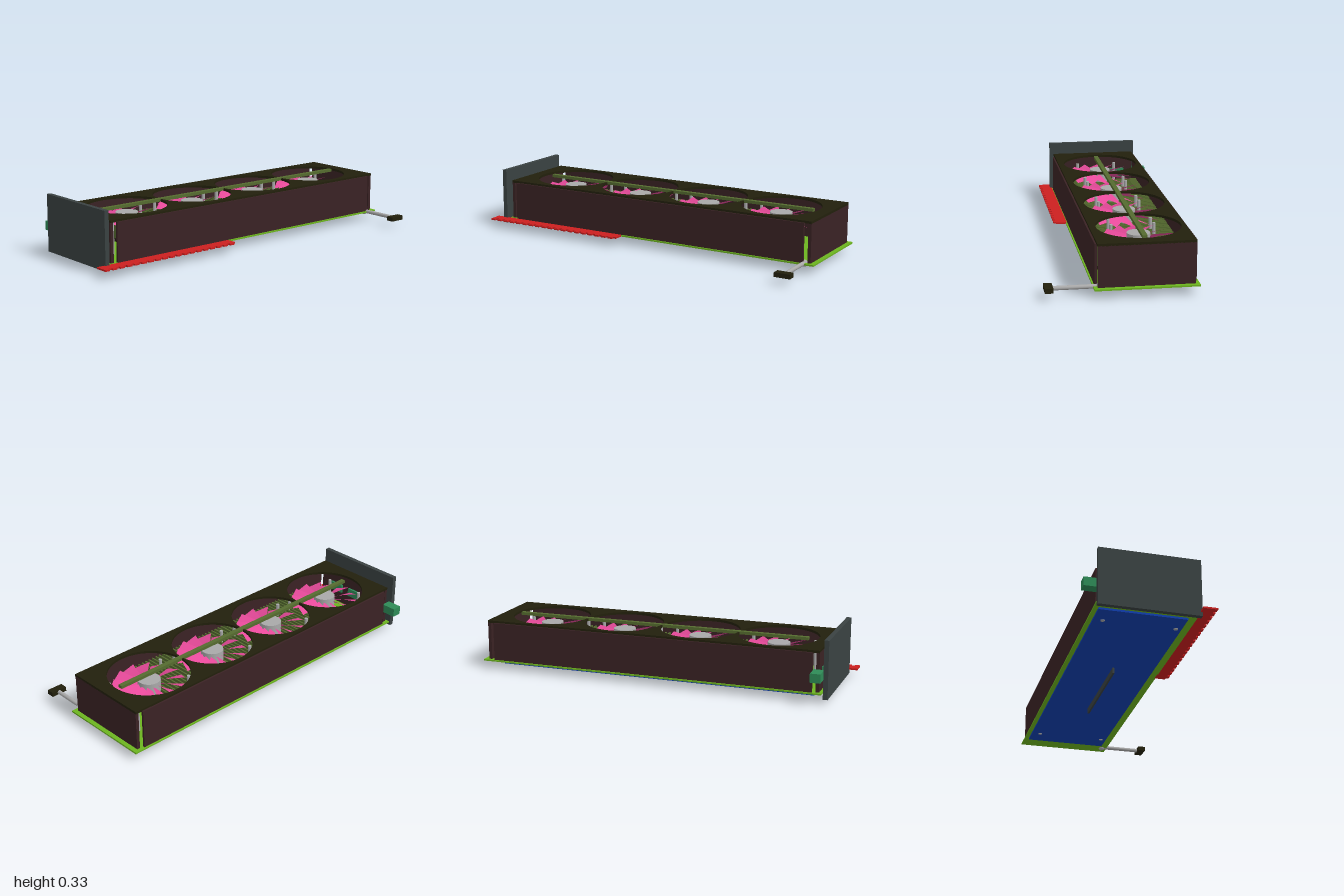
import * as THREE from 'three';

const mat = (name, color, side = THREE.FrontSide) =>
  Object.assign(new THREE.MeshStandardMaterial({ color, side }), { name });

export function createModel() {
  const root = new THREE.Group();
  root.name = 'expansionCard';
  const M = {
    brown: mat('shroud brown', 0x3a2224),
    darkOlive: mat('panel dark olive', 0x22200c),
    olive: mat('fin olive', 0x556b2f),
    green: mat('board green', 0x6cb41f),
    blue: mat('backplate blue', 0x103fb0),
    red: mat('edge connector red', 0xcc1f1f),
    teal: mat('port teal', 0x2e8b57),
    pink: mat('blade pink', 0xe84a9b, THREE.DoubleSide),
    grey: mat('metal grey', 0xa9a9a9),
    slate: mat('bracket slate', 0x3a4242),
  };

  const add = (name, geo, material, parent = root) => {
    const m = new THREE.Mesh(geo, material);
    m.name = name;
    parent.add(m);
    return m;
  };
  // box given by its minimum and maximum on each axis
  const box = (name, material, [x0, x1], [y0, y1], [z0, z1]) => {
    const m = add(name, new THREE.BoxGeometry(x1 - x0, y1 - y0, z1 - z0), material);
    m.position.set((x0 + x1) / 2, (y0 + y1) / 2, (z0 + z1) / 2);
    return m;
  };
  // upright cylinder
  const post = (name, material, r, x, [y0, y1], z, parent = root) => {
    const m = add(name, new THREE.CylinderGeometry(r, r, y1 - y0, 24), material, parent);
    m.position.set(x, (y0 + y1) / 2, z);
    return m;
  };

  const fanX = [-0.628, -0.188, 0.252, 0.692];
  const fanZ = -0.09;

  // circuit board, backplate and stiffening rib
  box('board', M.green, [-0.92, 1], [0.043, 0.051], [-0.345, 0.175]);
  box('backplate', M.blue, [-0.88, 0.88], [0.032, 0.043], [-0.322, 0.13]);
  box('backplateRib', M.slate, [-0.25, 0.32], [0, 0.032], [-0.09, -0.08]);
  for (const x of [-0.77, 0.77])
    for (const z of [-0.275, 0.1]) post('backplateScrew', M.grey, 0.011, x, [0.029, 0.034], z);

  // mounting bracket and ports
  box('bracket', M.slate, [-0.955, -0.93], [0.022, 0.333], [-0.345, 0.18]);
  for (let i = 0; i < 4; i++) {
    const z = -0.41 + i * 0.135;
    box('port', M.teal, [-0.93, -0.875], [0.125, 0.173], [z, z + 0.085]);
  }

  // edge connector with teeth
  box('edgeConnector', M.red, [-1, -0.15], [0.043, 0.052], [0.17, 0.23]);
  const teeth = 19, pitch = 0.85 / teeth;
  for (let i = 0; i < teeth; i++) {
    const x = -1 + i * pitch;
    box('edgeTooth', M.red, [x, x + pitch * 0.62], [0.043, 0.052], [0.23, 0.244]);
  }

  // shroud walls, open at the corners
  box('frontWall', M.brown, [-0.87, 0.937], [0.051, 0.261], [0.155, 0.167]);
  box('backWall', M.brown, [-0.87, 0.937], [0.051, 0.261], [-0.337, -0.325]);
  box('rightWall', M.brown, [-0.905, -0.887], [0.051, 0.261], [-0.325, 0.155]);
  box('leftWall', M.brown, [0.957, 0.975], [0.051, 0.261], [-0.325, 0.155]);

  // top panel with four fan openings
  const panel = new THREE.Shape();
  panel.moveTo(-0.905, -0.158).lineTo(0.975, -0.158).lineTo(0.975, 0.327).lineTo(-0.905, 0.327).closePath();
  for (const x of fanX) {
    const hole = new THREE.Path();
    hole.absarc(x, -fanZ, 0.216, 0, Math.PI * 2, true);
    panel.holes.push(hole);
  }
  const panelGeo = new THREE.ExtrudeGeometry(panel, { depth: 0.013, bevelEnabled: false, curveSegments: 32 });
  panelGeo.rotateX(-Math.PI / 2).translate(0, 0.259, 0);
  add('topPanel', panelGeo, M.darkOlive);

  // bar across the fans
  box('topBar', M.olive, [-0.79, 0.88], [0.26, 0.276], [-0.102, -0.077]);

  // heatsink: base and fins
  box('heatsinkBase', M.darkOlive, [-0.63, 0.7], [0.051, 0.07], [-0.31, 0.14]);
  for (let i = 0; i < 56; i++) {
    const x = -0.63 + i * 0.024;
    box('heatsinkFin', M.olive, [x, x + 0.008], [0.07, 0.17], [-0.31, 0.14]);
  }

  // one fan rotor: pitched blades built from cross-sections along the radius
  const bladeCount = 13, sections = 5, pos = [], idx = [];
  for (let b = 0; b < bladeCount; b++) {
    for (let s = 0; s < sections; s++) {
      const t = s / (sections - 1), r = 0.05 + 0.148 * t;
      const mid = (b / bladeCount) * Math.PI * 2 + 0.12 * t;
      for (const e of [-1, 1]) {
        const a = mid + e * 0.235, rr = r - (e > 0 ? 0.012 * t : 0);
        pos.push(Math.cos(a) * rr, 0.205 + e * (0.012 + 0.006 * t), Math.sin(a) * rr);
      }
      if (s) {
        const k = (b * sections + s) * 2;
        idx.push(k - 2, k - 1, k, k - 1, k + 1, k);
      }
    }
  }
  const bladeGeo = new THREE.BufferGeometry();
  bladeGeo.setAttribute('position', new THREE.Float32BufferAttribute(pos, 3));
  bladeGeo.setIndex(idx);
  bladeGeo.computeVertexNormals();

  for (const x of fanX) {
    const fan = new THREE.Group();
    fan.name = 'fan';
    fan.position.set(x, 0, fanZ);
    root.add(fan);
    add('blades', bladeGeo, M.pink, fan);
    post('hub', M.grey, 0.06, 0, [0.17, 0.235], 0, fan);
    // standoffs around the rotor
    for (const sx of [-1, 1])
      for (const sz of [-1, 1]) post('standoff', M.grey, 0.009, sx * 0.172, [0.051, 0.23], sz * 0.112, fan);
  }

  // power cable with plug
  const cable = add('cable', new THREE.CylinderGeometry(0.011, 0.011, 0.23, 20), M.grey);
  cable.rotation.x = Math.PI / 2;
  cable.position.set(0.937, 0.048, 0.26);
  add('cableEnd', new THREE.SphereGeometry(0.018, 20, 12), M.grey).position.set(0.937, 0.046, 0.145);
  box('plug', M.darkOlive, [0.892, 0.98], [0.036, 0.06], [0.37, 0.412]);

  return root;
}
